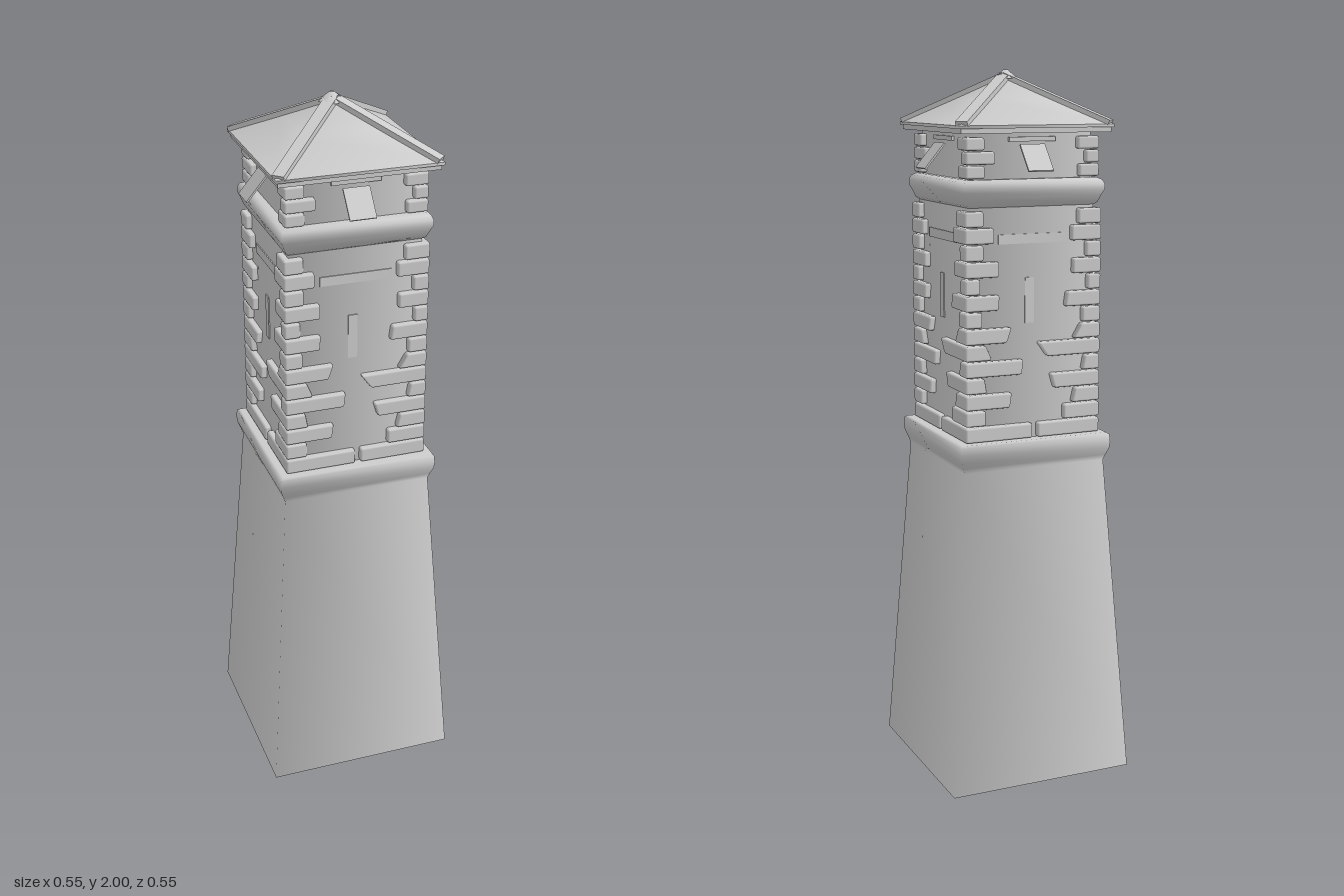
import * as THREE from 'three';
import { RoundedBoxGeometry } from 'three/addons/geometries/RoundedBoxGeometry.js';

const grey = new THREE.MeshStandardMaterial({ color: 0xcccccc });

function add(parent, name, geometry, x = 0, y = 0, z = 0) {
  const mesh = new THREE.Mesh(geometry, grey);
  mesh.name = name;
  mesh.position.set(x, y, z);
  parent.add(mesh);
  return mesh;
}

// Square tower section from [half width, height] pairs, softly shaded round the corners
function squareSection(profile) {
  const points = profile.map(([h, y]) => new THREE.Vector2(h * Math.SQRT2, y));
  return new THREE.LatheGeometry(points, 4, Math.PI / 4);
}

// Corner stone at +x +z: reaches a along x and b along z, with slanted inner ends
function quoin(parent, half, y, height, a, b, slant) {
  const g = new RoundedBoxGeometry(a, height, b, 1, 0.006);
  const p = g.attributes.position;
  for (let i = 0; i < p.count; i++) {
    const up = p.getY(i) / height;
    if (p.getX(i) < 0) p.setX(i, p.getX(i) + up * slant);
    if (p.getZ(i) < 0) p.setZ(i, p.getZ(i) - up * slant * 0.6);
  }
  add(parent, 'cornerStone', g, half - a / 2, y, half - b / 2);
}

// Reach of each course, from the bottom up: [along x, along z, slant]
const courses = [
  [0.19, 0.2, 0], [0.11, 0.06, 0], [0.08, 0.135, 0.01], [0.145, 0.06, -0.012],
  [0.05, 0.17, 0.008], [0.175, 0.07, -0.03], [0.07, 0.13, 0.025], [0.055, 0.05, 0],
  [0.105, 0.1, 0.006], [0.04, 0.045, 0], [0.085, 0.1, 0], [0.045, 0.055, 0],
  [0.09, 0.085, 0], [0.07, 0.055, 0],
];
const upperCourses = [[0.06, 0.055], [0.04, 0.085], [0.065, 0.055]];

export function createModel() {
  const model = new THREE.Group();

  // Sloping plinth with a rounded ledge
  add(model, 'plinth', squareSection([
    [0, 0], [0.274, 0], [0.274, 0], [0.212, 0.92], [0.217, 0.935], [0.225, 0.955],
    [0.227, 0.975], [0.225, 0.995], [0.218, 1], [0.17, 1],
  ]));

  // Shaft, moulded cornice and lookout chamber
  add(model, 'shaft', squareSection([[0.185, 0.99], [0.185, 1.66]]));
  add(model, 'cornice', squareSection([
    [0.18, 1.635], [0.193, 1.645], [0.201, 1.665], [0.208, 1.68], [0.208, 1.695],
    [0.203, 1.707], [0.19, 1.713], [0.16, 1.713],
  ]));
  add(model, 'chamber', squareSection([[0.178, 1.7], [0.178, 1.85]]));

  // Four matching sides
  for (let i = 0; i < 4; i++) {
    const side = new THREE.Group();
    side.name = 'side';
    side.rotation.y = i * Math.PI / 2;
    model.add(side);

    courses.forEach(([a, b, slant], k) =>
      quoin(side, 0.203, 1.022 + k * 0.0452, 0.042, a, b, slant));
    upperCourses.forEach(([a, b], k) =>
      quoin(side, 0.197, 1.733 + k * 0.037, 0.034, a, b, 0));

    add(side, 'stringBand', new THREE.BoxGeometry(0.2, 0.026, 0.006), 0, 1.553, 0.185);
    add(side, 'slitWindow', new THREE.BoxGeometry(0.026, 0.125, 0.006), -0.008, 1.385, 0.185);
    add(side, 'lintel', new THREE.BoxGeometry(0.135, 0.012, 0.012), 0, 1.818, 0.18);

    // Shutter propped outward at its foot
    const shutter = add(side, 'shutter', new THREE.BoxGeometry(0.073, 0.088, 0.005), -0.003, 1.77, 0.22);
    shutter.rotation.x = -0.7;
  }

  // Pyramid roof on a shallow eave board
  add(model, 'eave', new THREE.BoxGeometry(0.44, 0.016, 0.44), 0, 1.843, 0);
  add(model, 'roof', squareSection([
    [0, 1.848], [0.226, 1.848], [0.226, 1.848], [0.226, 1.856], [0.226, 1.856],
    [0.11, 1.921], [0, 1.985],
  ]));

  // Hip tiles along the four roof edges
  const foot = new THREE.Vector3(0.218, 1.86, 0.218);
  const peak = new THREE.Vector3(0, 1.985, 0);
  for (let i = 0; i < 4; i++) {
    const hip = new THREE.Group();
    hip.name = 'hip';
    hip.rotation.y = i * Math.PI / 2;
    const tile = add(hip, 'hipTile', new THREE.BoxGeometry(0.034, 0.014, foot.distanceTo(peak)));
    tile.position.lerpVectors(foot, peak, 0.5);
    tile.lookAt(peak);
    model.add(hip);
  }

  // Small faceted cap at the peak
  add(model, 'peakCap', new THREE.CylinderGeometry(0.006, 0.036, 0.024, 8), -0.003, 1.988, 0);
  return model;
}
